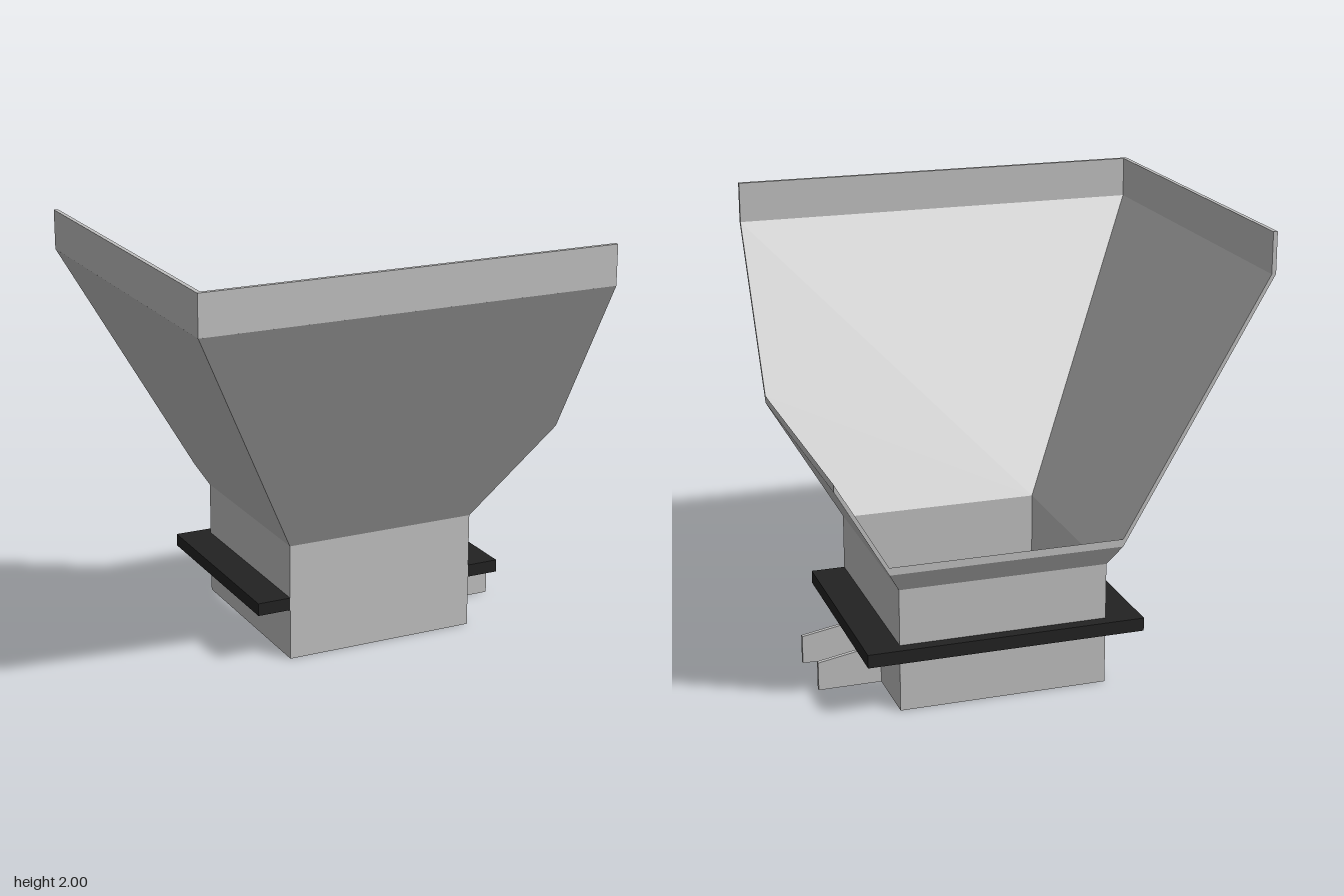
import * as THREE from 'three';

const X0 = -0.25, X1 = 0.69, Z0 = -0.805, Z1 = 0.135; // neck footprint
const NECK = 0.56, RIM = 1.815, TOP = 2, T = 0.02;
const SLOPE = 0.5817, CUT_X = 0.975, CUT_Z = -0.86;   // flare and trimmed sides

// The four sloping panels as corner loops, inset by t
function funnelLoops(t) {
  const flare = (y) => (y - NECK) * SLOPE;
  const left = (y) => X0 + t - flare(y), right = (y) => X1 - t + flare(y);
  const back = (y) => Z0 + t - flare(y), front = (y) => Z1 - t + flare(y);
  const yr = NECK + (CUT_X - X1 + t) / SLOPE; // height where the +x panel is trimmed
  const yb = NECK + (Z0 + t - CUT_Z) / SLOPE; // height where the back panel is trimmed
  const n = NECK;
  return {
    frontPanel: [[left(n), n, front(n)], [right(n), n, front(n)], [CUT_X, yr, front(yr)],
      [CUT_X, RIM, front(RIM)], [left(RIM), RIM, front(RIM)]],
    leftPanel: [[right(n), n, front(n)], [right(n), n, back(n)], [right(yb), yb, CUT_Z],
      [CUT_X, yr, CUT_Z], [CUT_X, yr, front(yr)]],
    backPanel: [[right(n), n, back(n)], [left(n), n, back(n)], [left(yb), yb, CUT_Z],
      [right(yb), yb, CUT_Z]],
    rightPanel: [[left(n), n, back(n)], [left(n), n, front(n)], [left(RIM), RIM, front(RIM)],
      [left(RIM), RIM, CUT_Z], [left(yb), yb, CUT_Z]],
  };
}

// Solid plate between an outer and an inner corner loop
function plateGeometry(outer, inner) {
  const pos = [];
  const tri = (a, b, c) => pos.push(...a, ...b, ...c);
  const n = outer.length;
  for (let i = 1; i < n - 1; i++) {
    tri(outer[0], outer[i], outer[i + 1]);
    tri(inner[0], inner[i + 1], inner[i]);
  }
  for (let i = 0; i < n; i++) {
    const j = (i + 1) % n;
    tri(inner[i], inner[j], outer[j]);
    tri(inner[i], outer[j], outer[i]);
  }
  const g = new THREE.BufferGeometry();
  g.setAttribute('position', new THREE.Float32BufferAttribute(pos, 3));
  g.computeVertexNormals();
  return g;
}

export function createModel() {
  const model = new THREE.Group();
  model.name = 'hopper';
  const steel = new THREE.MeshStandardMaterial({ color: 0xc0c0c0 });
  steel.name = 'grey steel';
  const black = new THREE.MeshStandardMaterial({ color: 0x222222 });
  black.name = 'black steel';

  const add = (name, geometry, material) => {
    const mesh = new THREE.Mesh(geometry, material);
    mesh.name = name;
    model.add(mesh);
    return mesh;
  };
  const box = (name, material, x0, x1, y0, y1, z0, z1) =>
    add(name, new THREE.BoxGeometry(x1 - x0, y1 - y0, z1 - z0), material)
      .position.set((x0 + x1) / 2, (y0 + y1) / 2, (z0 + z1) / 2);

  // Sloping funnel panels
  const outer = funnelLoops(0), inner = funnelLoops(T);
  for (const name in outer) add(name, plateGeometry(outer[name], inner[name]), steel);

  // Upright rims on the two tall sides
  box('frontRim', steel, -0.98, CUT_X, RIM, TOP, 0.865 - T, 0.865);
  box('rightRim', steel, -0.98, -0.98 + T, RIM, TOP, CUT_Z, 0.865 - T);

  // Square neck
  box('neckFront', steel, X0, X1, 0, NECK, Z1 - T, Z1);
  box('neckBack', steel, X0, X1, 0, NECK, Z0, Z0 + T);
  box('neckRight', steel, X0, X0 + T, 0, NECK, Z0 + T, Z1 - T);

  // Neck wall with the outlet notch, drawn in z and y
  const slot0 = -0.475, slot1 = -0.197, slotTop = 0.18;
  const wall = new THREE.Shape([
    [Z0 + T, 0], [slot0, 0], [slot0, slotTop], [slot1, slotTop],
    [slot1, 0], [Z1 - T, 0], [Z1 - T, NECK], [Z0 + T, NECK],
  ].map(([z, y]) => new THREE.Vector2(-z, y)));
  const wallGeometry = new THREE.ExtrudeGeometry(wall, { depth: T, bevelEnabled: false });
  wallGeometry.rotateY(Math.PI / 2);
  add('neckLeft', wallGeometry, steel).position.x = X1 - T;

  // Tapered cheeks beside the outlet
  const cheek = new THREE.Shape([[X1, 0], [CUT_X, 0], [CUT_X, 0.13], [X1, slotTop]]
    .map(([x, y]) => new THREE.Vector2(x, y)));
  const cheekGeometry = new THREE.ExtrudeGeometry(cheek, { depth: T, bevelEnabled: false });
  for (const z of [slot0 - T, slot1]) add('outletCheek', cheekGeometry, steel).position.z = z;

  // Mounting frame on three sides of the neck
  box('frameRight', black, -0.41, X0, 0.245, 0.305, CUT_Z, Z1);
  box('frameLeft', black, X1, 0.845, 0.245, 0.305, CUT_Z, Z1);
  box('frameBack', black, X0, X1, 0.245, 0.305, CUT_Z, Z0);

  return model;
}
